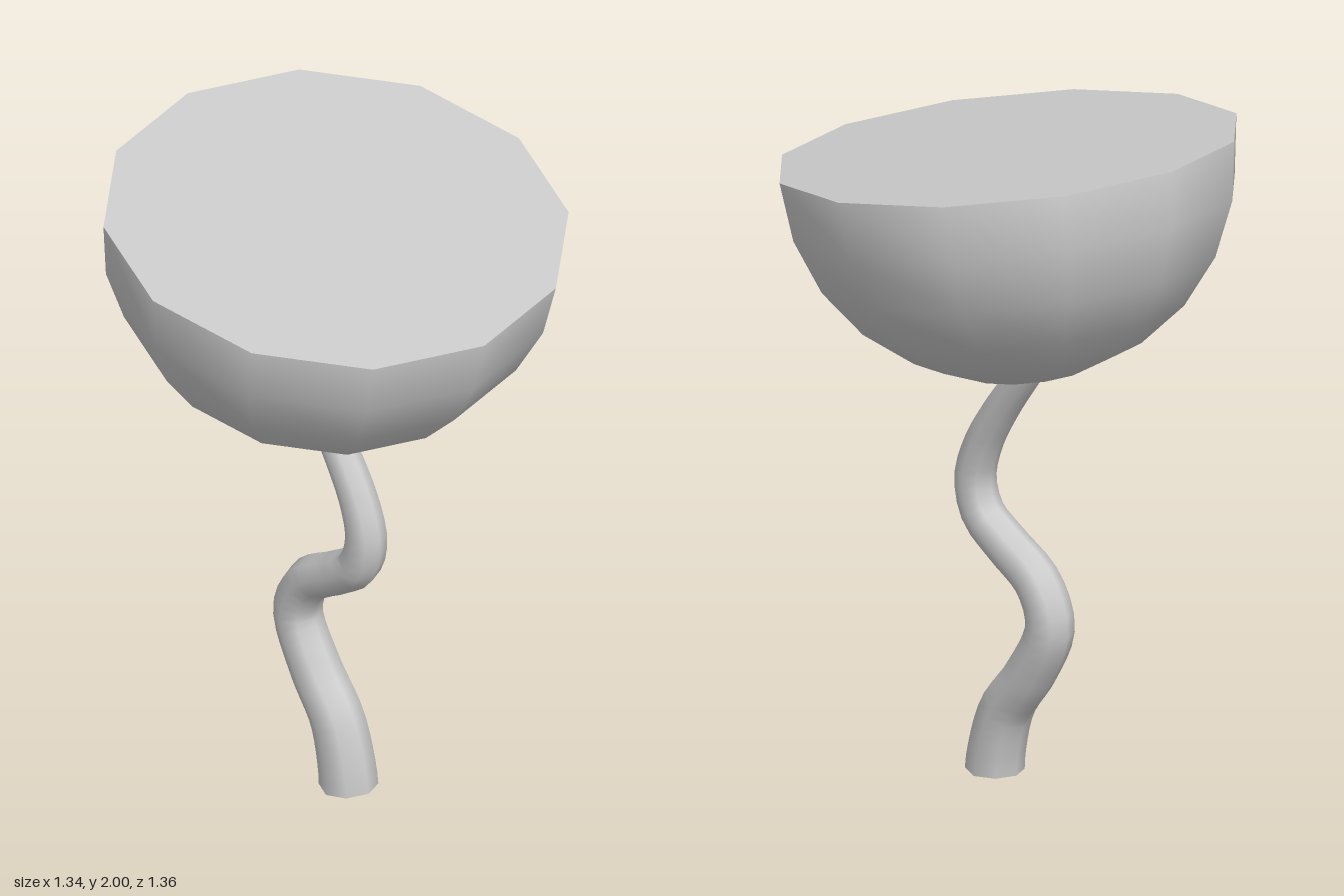
import * as THREE from 'three';

const material = new THREE.MeshStandardMaterial({ color: 0xcccccc });
const openMaterial = new THREE.MeshStandardMaterial({ color: 0xcccccc, side: THREE.DoubleSide });

// Wavy tube that narrows towards the top, open at the foot
function createStem() {
  const path = new THREE.CatmullRomCurve3([
    [0.043, 0], [0.038, 0.05], [-0.005, 0.2], [-0.1, 0.33], [-0.177, 0.49],
    [-0.13, 0.61], [0, 0.7], [0.09, 0.77], [0.12, 0.87], [0.09, 0.98],
    [0.02, 1.1], [-0.075, 1.23], [-0.11, 1.28],
  ].map(([x, y]) => new THREE.Vector3(x, y, -0.01)));
  const rings = 40, sides = 8;
  const geometry = new THREE.TubeGeometry(path, rings, 1, sides);
  const position = geometry.attributes.position;
  const v = new THREE.Vector3();
  for (let i = 0; i <= rings; i++) {
    const centre = path.getPointAt(i / rings);
    const radius = 0.086 - 0.029 * centre.y;
    for (let j = 0; j <= sides; j++) {
      const k = i * (sides + 1) + j;
      v.fromBufferAttribute(position, k).sub(centre).multiplyScalar(radius).add(centre);
      position.setXYZ(k, v.x, Math.max(v.y, 0), v.z);
    }
  }
  const stem = new THREE.Mesh(geometry, openMaterial);
  stem.name = 'stem';
  return stem;
}

// Tilted half sphere closed by a flat lid
function createBowl() {
  const radius = 0.678, sides = 12;
  const bowl = new THREE.Group();
  bowl.name = 'bowl';

  const shell = new THREE.Mesh(
    new THREE.SphereGeometry(radius, sides, 6, 0, Math.PI * 2, Math.PI / 2, Math.PI / 2), material);
  shell.name = 'bowlShell';

  const lid = new THREE.Mesh(new THREE.CircleGeometry(radius, sides).rotateX(-Math.PI / 2), material);
  lid.name = 'bowlTop';

  bowl.add(shell, lid);
  bowl.position.set(0, 1.9, 0);
  bowl.rotation.set(0.012, -0.033, -0.149, 'ZXY');
  return bowl;
}

export function createModel() {
  const model = new THREE.Group();
  model.name = 'bowlOnStem';
  model.add(createStem(), createBowl());
  return model;
}
